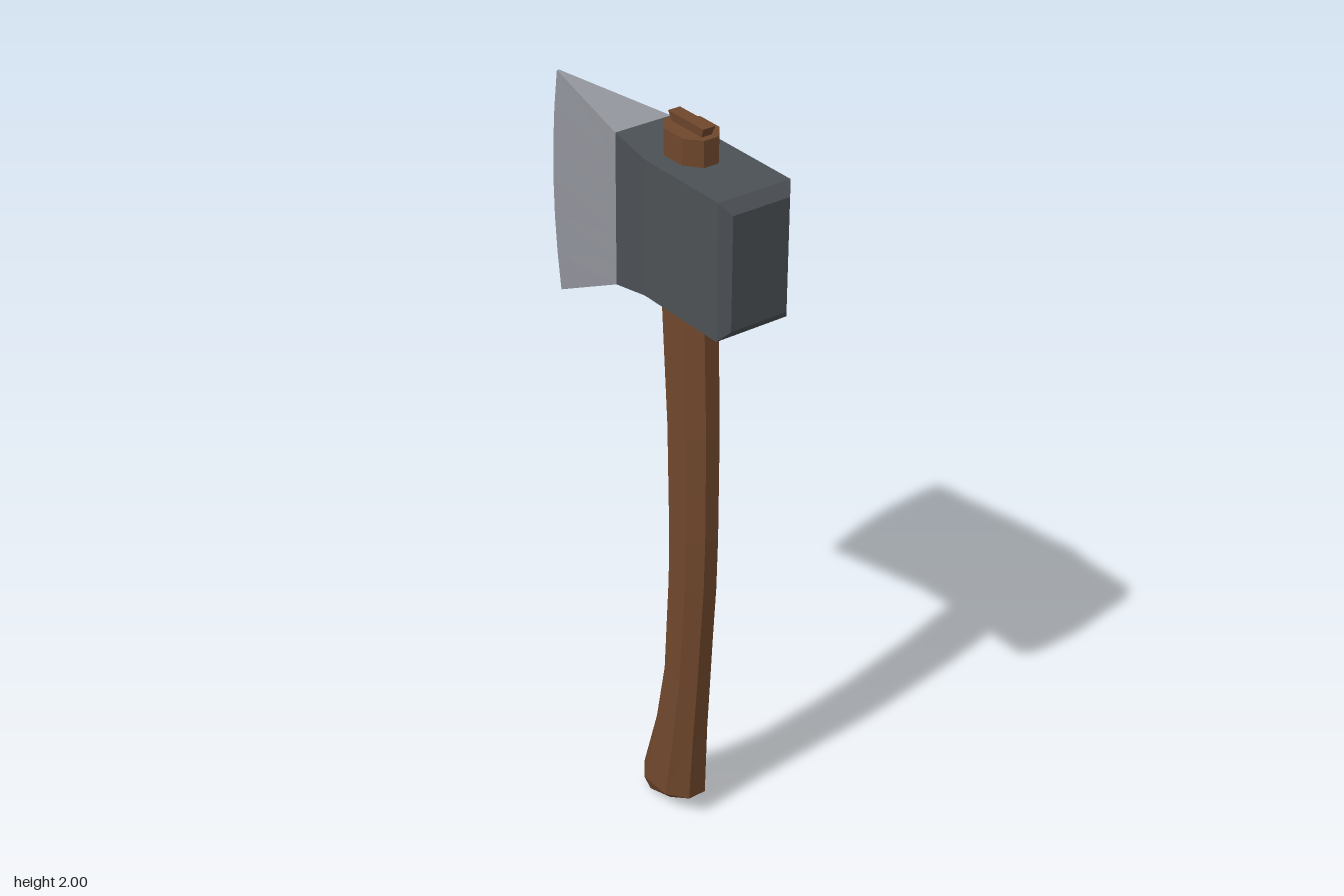
import * as THREE from 'three';

// Skin a list of equal-sized rings (even point count) and close both ends.
// Rings run counter-clockwise as seen from the end they advance towards.
function loft(rings) {
  const pos = [];
  const m = rings[0].length;
  const quad = (a, b, c, d) => pos.push(...a, ...b, ...c, ...a, ...c, ...d);
  for (let r = 0; r < rings.length - 1; r++) {
    const a = rings[r], b = rings[r + 1];
    for (let i = 0; i < m; i++) {
      const j = (i + 1) % m;
      quad(a[i], a[j], b[j], b[i]);
    }
  }
  const first = rings[0], last = rings[rings.length - 1];
  for (let i = 0; i < m / 2 - 1; i++) {
    const p = m - 2 - i, q = m - 1 - i;
    quad(last[i], last[i + 1], last[p], last[q]);
    quad(first[q], first[p], first[i + 1], first[i]);
  }
  const g = new THREE.BufferGeometry();
  g.setAttribute('position', new THREE.Float32BufferAttribute(pos, 3));
  g.computeVertexNormals();
  return g;
}

// Octagonal handle section between its left and right ends, optionally tilted
const OCTAGON = [[1, 0.4], [0.47, 1], [-0.47, 1], [-1, 0.4], [-1, -0.4], [-0.47, -1], [0.47, -1], [1, -0.4]];
function handleRing([x0, x1, y0, y1, hz]) {
  return OCTAGON.map(([u, v]) => {
    const t = (u + 1) / 2;
    return [x0 + (x1 - x0) * t, y0 + (y1 - y0) * t, -v * hz];
  });
}

// Rectangular section of the head, facing +x
function headRing([x, y0, y1, hz]) {
  return [[x, y0, -hz], [x, y1, -hz], [x, y1, hz], [x, y0, hz]];
}

// Two-sided column of points, up the back and down the front
function bladeRing(points, hz) {
  return [
    ...points.map(([x, y]) => [x, y, -hz]),
    ...points.slice().reverse().map(([x, y]) => [x, y, hz]),
  ];
}

export function createModel() {
  const wood = new THREE.MeshStandardMaterial({ color: 0x6f472c });
  const steel = new THREE.MeshStandardMaterial({ color: 0x4c5155 });
  const edgeSteel = new THREE.MeshStandardMaterial({ color: 0x94969e });
  wood.name = 'wood';
  steel.name = 'darkSteel';
  edgeSteel.name = 'edgeSteel';

  const model = new THREE.Group();
  model.name = 'axe';
  const add = (name, geometry, material) => {
    const mesh = new THREE.Mesh(geometry, material);
    mesh.name = name;
    model.add(mesh);
  };

  // Curved handle: left x, right x, left y, right y, half depth
  add('handle', loft([
    [0.005, 0.19, 0.0, 0.06, 0.045],
    [0.0, 0.2, 0.065, 0.068, 0.065],
    [0.052, 0.208, 0.25, 0.25, 0.057],
    [0.087, 0.222, 0.45, 0.45, 0.051],
    [0.1, 0.243, 0.75, 0.75, 0.05],
    [0.1, 0.247, 0.9, 0.9, 0.05],
    [0.09, 0.246, 1.2, 1.2, 0.051],
    [0.063, 0.233, 1.56, 1.56, 0.053],
    [0.075, 0.225, 1.9, 1.9, 0.053],
    [0.075, 0.225, 1.977, 1.977, 0.053],
  ].map(handleRing)), wood);

  // Flared wedge driven into the top of the handle
  const wedgeRing = ([y, x0, x1, hz]) => [[x1, y, hz], [x1, y, -hz], [x0, y, -hz], [x0, y, hz]];
  add('wedge', loft([[1.96, 0.1, 0.2, 0.012], [2.0, 0.084, 0.216, 0.017]].map(wedgeRing)), wood);

  // Head block with chamfered poll: x, bottom y, top y, half depth
  add('head', loft([
    [-0.035, 1.52, 1.917, 0.08],
    [0.11, 1.56, 1.91, 0.102],
    [0.384, 1.56, 1.91, 0.102],
    [0.41, 1.59, 1.882, 0.08],
  ].map(headRing)), steel);

  // Blade tapering from the head to a curved cutting edge
  const edge = [], root = [];
  const steps = 6;
  for (let i = 0; i <= steps; i++) {
    const t = i / steps;
    edge.push([-0.385 - 0.025 * (1 - (2 * t - 1) ** 2), 1.33 + 0.6 * t]);
    root.push([-0.035, 1.52 + 0.397 * t]);
  }
  add('blade', loft([bladeRing(edge, 0.003), bladeRing(root, 0.08)]), edgeSteel);

  return model;
}
